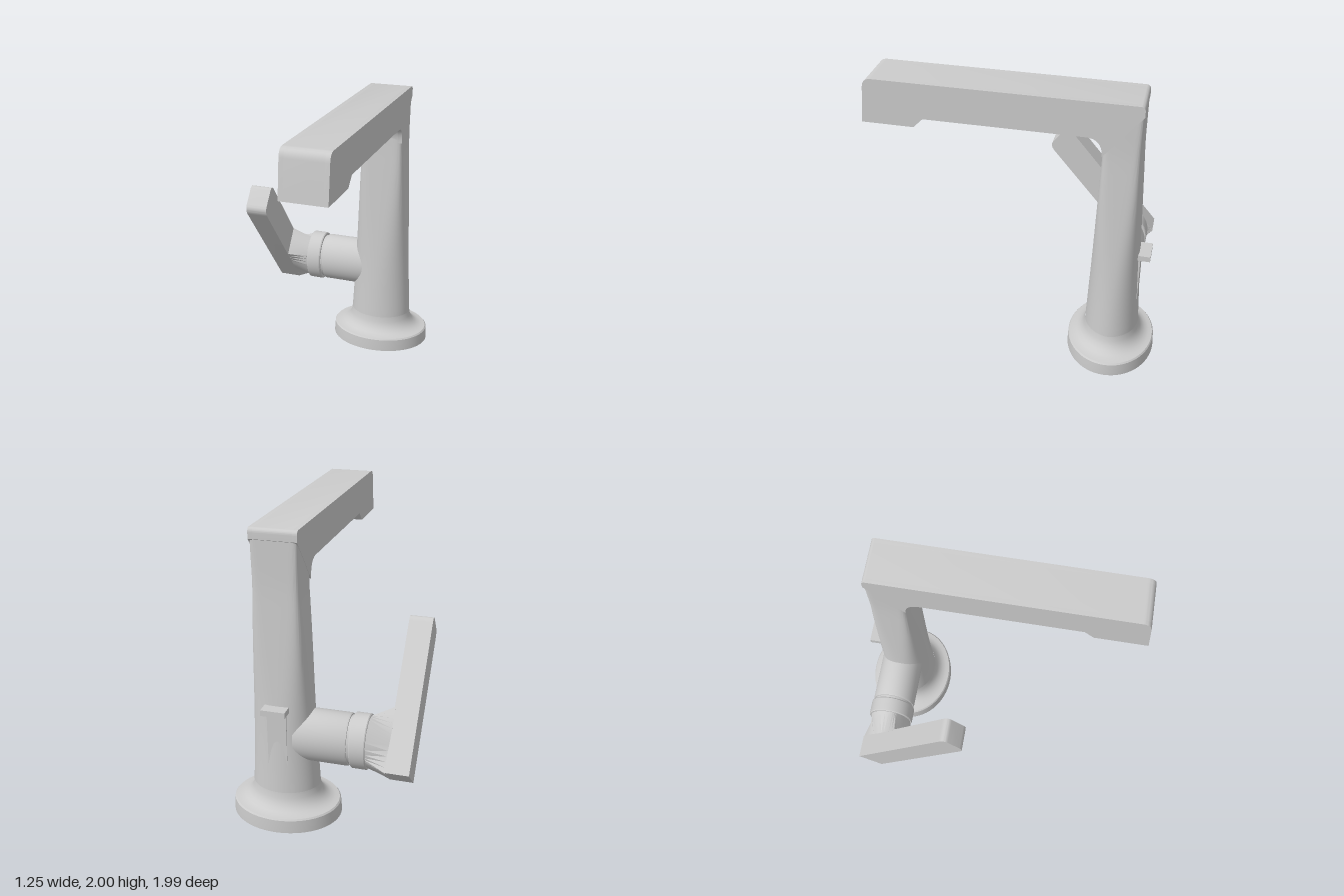
import * as THREE from 'three';
import { toCreasedNormals } from 'three/addons/utils/BufferGeometryUtils.js';

const CX = 0.247, CZ = -0.683, SQUASH = 0.83; // column axis and its oval ratio

export function createModel() {
  const model = new THREE.Group();
  model.name = 'tap';
  const material = new THREE.MeshStandardMaterial({ color: 0xcccccc });

  const add = (name, geometry, crease = 0.5) => {
    const mesh = new THREE.Mesh(toCreasedNormals(geometry, crease), material);
    mesh.name = name;
    model.add(mesh);
    return mesh;
  };
  const v2 = (list) => list.map(([a, b]) => new THREE.Vector2(a, b));
  const lerp = THREE.MathUtils.lerp;

  // Skin through rings of equal point count, optionally capped at each end
  function loft(rings, capStart = true, capEnd = true) {
    const n = rings[0].length, pos = [], idx = [];
    rings.forEach((ring) => ring.forEach((p) => pos.push(...p)));
    for (let i = 0; i < rings.length - 1; i++) {
      for (let j = 0; j < n; j++) {
        const a = i * n + j, b = i * n + ((j + 1) % n);
        idx.push(a, a + n, b, b, a + n, b + n);
      }
    }
    const cap = (r, flip) => {
      const c = pos.length / 3;
      pos.push(...[0, 1, 2].map((k) => rings[r].reduce((s, p) => s + p[k], 0) / n));
      for (let j = 0; j < n; j++) {
        const a = r * n + j, b = r * n + ((j + 1) % n);
        idx.push(c, flip ? a : b, flip ? b : a);
      }
    };
    if (capStart) cap(0, true);
    if (capEnd) cap(rings.length - 1, false);
    const g = new THREE.BufferGeometry();
    g.setAttribute('position', new THREE.Float32BufferAttribute(pos, 3));
    g.setIndex(idx);
    g.computeVertexNormals();
    return g;
  }

  // Extrude a side outline drawn in (z, y) between two x positions
  function sideExtrude(shape, x0, x1) {
    const g = new THREE.ExtrudeGeometry(shape, { depth: x1 - x0, bevelEnabled: false, curveSegments: 10 });
    return g.rotateY(-Math.PI / 2).translate(x1, 0, 0);
  }

  // Oval foot with a fillet up into the column
  const foot = new THREE.LatheGeometry(v2([
    [0, 0], [0.372, 0], [0.372, 0.015], [0.367, 0.09], [0.358, 0.1], [0.325, 0.104],
    [0.295, 0.115], [0.268, 0.134], [0.248, 0.16], [0.235, 0.19], [0.228, 0.23],
  ]), 64);
  add('foot', foot.scale(1, 1, SQUASH).translate(CX, 0, CZ));

  // Column: oval at the bottom, turning rectangular at the top
  const columnRings = [];
  for (let i = 0; i <= 20; i++) {
    const y = lerp(0.2, 1.95, i / 20);
    const t = Math.min((y - 0.2) / 1.44, 1);
    const power = 2 / (2 + 10 * (i / 20) ** 3);
    const rx = lerp(0.23, 0.153, t);
    const back = lerp(-0.872, -0.808, t), front = lerp(-0.494, -0.563, t);
    const ring = [];
    for (let j = 0; j < 64; j++) {
      const a = (j / 64) * Math.PI * 2, c = Math.cos(a), s = Math.sin(a);
      ring.push([
        CX + rx * Math.sign(c) * Math.abs(c) ** power, y,
        (front + back) / 2 + ((front - back) / 2) * Math.sign(s) * Math.abs(s) ** power,
      ]);
    }
    columnRings.push(ring);
  }
  add('column', loft(columnRings));

  // Spout: side walls and a middle strip notched for the outlet
  const spoutShape = (notched) => {
    const s = new THREE.Shape();
    s.moveTo(-0.565, 1.63);
    s.quadraticCurveTo(-0.565, 1.755, -0.46, 1.755);
    s.lineTo(0.585, 1.755);
    s.lineTo(0.65, 1.69);
    if (notched) {
      s.lineTo(0.68, 1.69);
      s.lineTo(0.68, 1.79);
      s.lineTo(0.96, 1.79);
      s.lineTo(0.96, 1.69);
    }
    s.lineTo(0.997, 1.69);
    s.lineTo(0.972, 1.94);
    s.quadraticCurveTo(0.965, 2, 0.91, 2);
    s.lineTo(-0.785, 2);
    s.quadraticCurveTo(-0.81, 1.995, -0.81, 1.97);
    s.lineTo(-0.81, 1.93);
    return s;
  };
  add('spoutRightWall', sideExtrude(spoutShape(false), 0.092, 0.122));
  add('spoutMiddle', sideExtrude(spoutShape(true), 0.122, 0.372));
  add('spoutLeftWall', sideExtrude(spoutShape(false), 0.372, 0.402));

  // Outlet funnel, facing down into the recess
  const rect = (hx, hz, y) => [[-1, -1], [1, -1], [1, 1], [-1, 1]]
    .map(([a, b]) => [CX + a * hx, y, 0.82 + b * hz]).reverse();
  const funnelRings = [rect(0.125, 0.14, 1.69), rect(0.06, 0.07, 1.78)];
  // keep the winding that faces the inside of the funnel
  const inward = funnelRings.map((r) => [...r]);
  add('outletFunnel', loft(inward, false, true), 0.1);

  // Valve housing and collar, lying along x
  const valve = new THREE.LatheGeometry(v2([
    [0, -0.15], [0.181, -0.15], [0.181, 0.195], [0.176, 0.205], [0.168, 0.206], [0.168, 0.224],
    [0.185, 0.225], [0.19, 0.232], [0.19, 0.325], [0.185, 0.331], [0, 0.331],
  ]), 48);
  add('valveHousing', valve.rotateZ(Math.PI / 2).scale(1, 1, SQUASH).translate(0, 0.602, -0.692));

  // Hub: from the round collar to the lever's rectangular foot
  const corners = [[-0.727, 0.365], [-0.88, 0.5], [-0.61, 0.835], [-0.485, 0.66]];
  const roundEnd = [], squareEnd = [];
  corners.forEach(([z0, y0], k) => {
    const [z1, y1] = corners[(k + 1) % 4];
    for (let j = 0; j < 12; j++) {
      const z = lerp(z0, z1, j / 12), y = lerp(y0, y1, j / 12);
      const a = Math.atan2(y - 0.6, (z + 0.685) / SQUASH);
      squareEnd.push([-0.475, y, z]);
      roundEnd.push([-0.328, 0.602 + 0.175 * Math.sin(a), -0.692 + 0.175 * SQUASH * Math.cos(a)]);
    }
  });
  add('leverHub', loft([roundEnd, squareEnd]), 0.4);

  // Lever: slanted bar with a rounded tip
  const lever = new THREE.Shape();
  lever.moveTo(-0.727, 0.365);
  lever.lineTo(-0.105, 1.115);
  lever.quadraticCurveTo(-0.07, 1.16, -0.1, 1.195);
  lever.lineTo(-0.175, 1.293);
  lever.quadraticCurveTo(-0.205, 1.325, -0.24, 1.28);
  lever.lineTo(-0.88, 0.505);
  add('lever', sideExtrude(lever, -0.628, -0.47));

  // Lift rod at the back with its finger tab
  add('liftRod', new THREE.BoxGeometry(0.13, 0.44, 0.06).translate(CX, 0.6, -0.824));
  add('liftRodTab', new THREE.BoxGeometry(0.162, 0.04, 0.1).translate(CX, 0.832, -0.87));

  return model;
}
